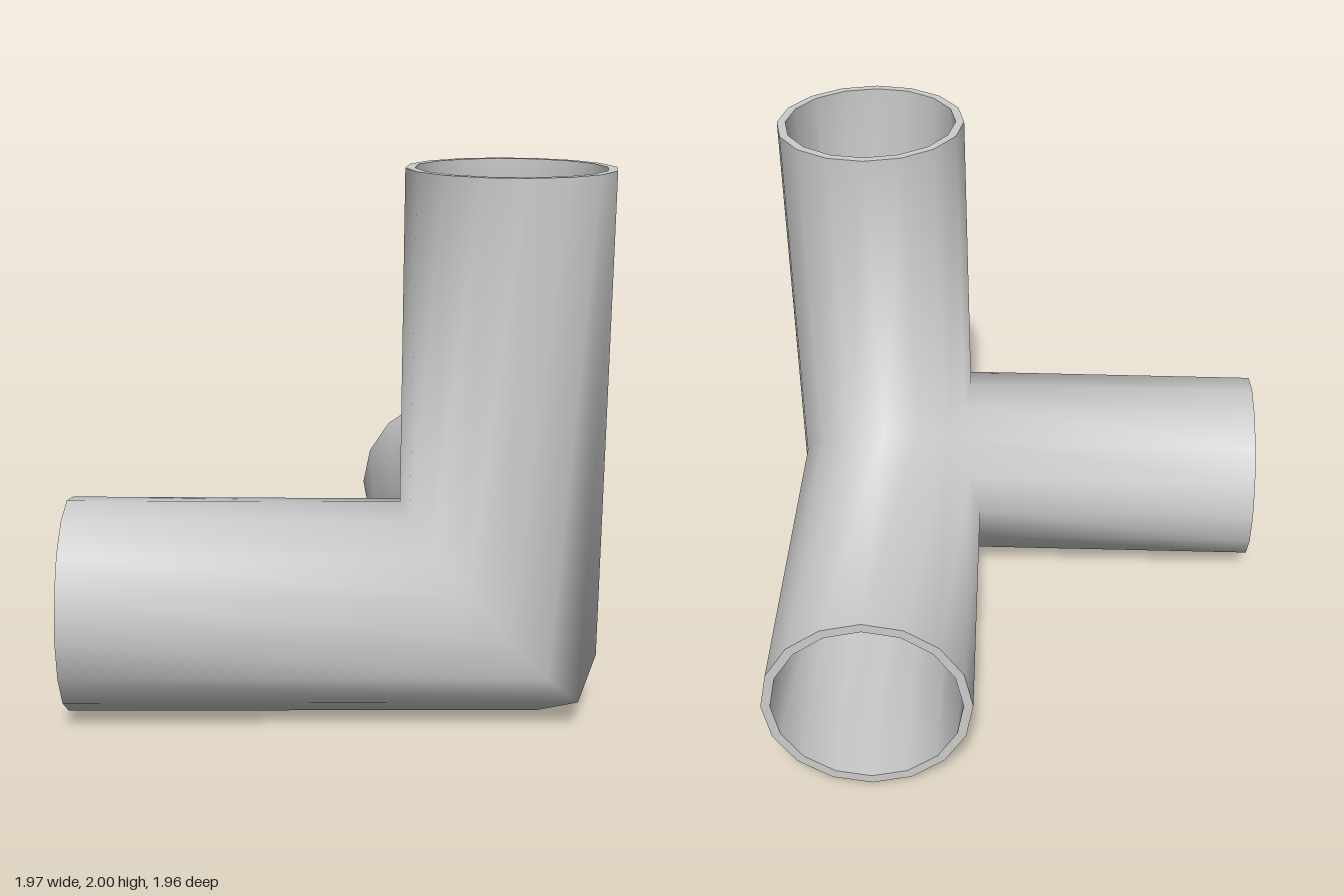
import * as THREE from 'three';
import { mergeGeometries, mergeVertices } from 'three/addons/utils/BufferGeometryUtils.js';

const SIDES = 16;
const BORE = 0.91; // inner radius relative to outer

// Local pipe directions are u = -x, v = +y, w = -z; all coordinates in radii.
// Point on the mitred joint; the crotches beside the slimmer upright pull in.
function jointPoint([u, v, w]) {
  const p = (n) => Math.max(0, n);
  return [
    0.59 - 0.39 * u + 0.04 * p(u) * p(v),
    0.395 + 0.395 * v,
    0.59 - 0.39 * w + 0.04 * p(w) * p(v),
  ];
}

// Point on the open end of each pipe
const endPoint = [
  ([, v, w]) => [-0.973 + 0.012 * w, 0.395 + 0.395 * v, 0.535 - 0.385 * w], // side pipe, slightly skewed
  ([u, , w]) => [0.612 - 0.368 * u, 2, 0.612 - 0.368 * w],                  // upright pipe
  ([u, v]) => [0.59 - 0.39 * u, 0.395 + 0.395 * v, -0.98],                  // back pipe
];

// Ring of a pipe, either along the mitre or at the open end
function ring(axis, scale, atEnd) {
  const points = [];
  for (let j = 0; j < SIDES; j++) {
    const t = (j / SIDES) * Math.PI * 2;
    const b = Math.cos(t) * scale, c = Math.sin(t) * scale;
    const q = [0, 0, 0];
    q[axis] = Math.max(b, c);
    q[(axis + 1) % 3] = b;
    q[(axis + 2) % 3] = c;
    points.push(atEnd ? endPoint[axis](q) : jointPoint(q));
  }
  return points;
}

// Closed band between two rings
function band(from, to) {
  const index = [];
  for (let j = 0; j < SIDES; j++) {
    const k = (j + 1) % SIDES;
    index.push(j, k, SIDES + k, j, SIDES + k, SIDES + j);
  }
  const g = new THREE.BufferGeometry();
  g.setAttribute('position', new THREE.Float32BufferAttribute([...from, ...to].flat(), 3));
  g.setIndex(index);
  return g;
}

// Join bands and smooth across shared edges
function smooth(bands) {
  const g = mergeVertices(mergeGeometries(bands), 1e-4);
  g.computeVertexNormals();
  return g;
}

export function createModel() {
  const group = new THREE.Group();
  group.name = 'cornerPipeFitting';
  const material = new THREE.MeshStandardMaterial({ color: 0xcccccc, side: THREE.DoubleSide });
  const add = (name, geometry) => {
    const mesh = new THREE.Mesh(geometry, material);
    mesh.name = name;
    group.add(mesh);
  };
  const axes = [0, 1, 2];

  // Outer skin and bore, each continuous through the mitres
  add('outerWall', smooth(axes.map((a) => band(ring(a, 1, false), ring(a, 1, true)))));
  add('innerBore', smooth(axes.map((a) => band(ring(a, BORE, true), ring(a, BORE, false)))));

  // Flat rims at the three open ends
  ['sideRim', 'topRim', 'backRim'].forEach((name, a) =>
    add(name, smooth([band(ring(a, 1, true), ring(a, BORE, true))])));

  return group;
}
